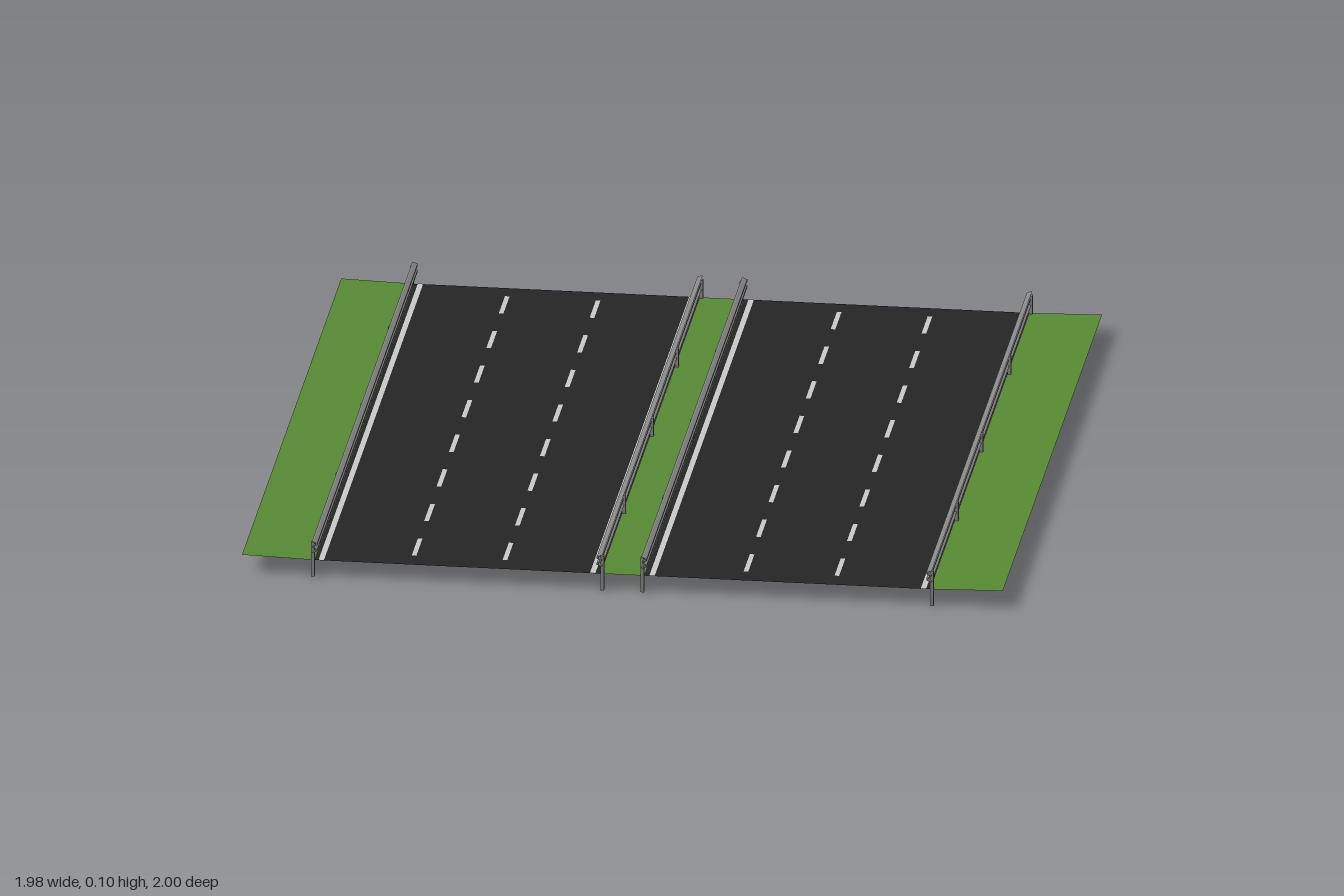
import * as THREE from 'three';

const mat = (color) => new THREE.MeshStandardMaterial({ color, side: THREE.DoubleSide });

export function createModel() {
  const model = new THREE.Group();
  const asphalt = mat(0x262626), grass = mat(0x588c34), paint = mat(0xcccccc), steel = mat(0x888888);
  const roadY = 0.045, half = 0.987;

  const add = (name, geometry, material, x = 0, y = 0, z = 0, parent = model) => {
    const mesh = new THREE.Mesh(geometry, material);
    mesh.name = name;
    mesh.position.set(x, y, z);
    parent.add(mesh);
    return mesh;
  };
  // Flat strip lying between two x positions
  const strip = (name, x0, x1, y, length, material, z = 0) =>
    add(name, new THREE.PlaneGeometry(x1 - x0, length).rotateX(-Math.PI / 2), material, (x0 + x1) / 2, y, z);

  strip('medianGrass', -0.056, 0.056, roadY, half * 2, grass);

  // W-beam rail cross-section: x towards the road, y up
  const face = [[0, 0.07], [0.010, 0.074], [0.010, 0.079], [0.002, 0.083], [0.002, 0.087], [0.010, 0.091], [0.010, 0.096], [0, 0.1]];
  const back = face.map(([x, y]) => [x - 0.004, y]).reverse();
  const profile = new THREE.Shape([...face, ...back].map(([x, y]) => new THREE.Vector2(x, y)));
  const railGeometry = new THREE.ExtrudeGeometry(profile, { depth: 2, bevelEnabled: false }).translate(0, 0, -1);

  const guardRail = (name, x, facing, postsZ) => {
    const rail = new THREE.Group();
    rail.name = name;
    rail.position.x = x;
    add('railBeam', railGeometry, steel, 0, 0, 0, rail).rotation.y = facing > 0 ? 0 : Math.PI;
    postsZ.forEach((z) => {
      const bottom = z === 0 ? 0.02 : 0, top = 0.095;
      add('railPost', new THREE.BoxGeometry(0.009, top - bottom, 0.012), steel,
        -facing * 0.003, (top + bottom) / 2, z, rail);
    });
    model.add(rail);
  };

  for (const s of [-1, 1]) {
    const side = s > 0 ? 'left' : 'right';
    const span = (name, a, b, y, length, material, z) =>
      strip(side + name, Math.min(s * a, s * b), Math.max(s * a, s * b), y, length, material, z);

    // Carriageway and verge, the verge rising slightly outwards
    span('Road', 0.056, 0.8, roadY, half * 2, asphalt);
    const verge = span('Verge', 0.8, 0.988, roadY, half * 2, grass);
    const p = verge.geometry.attributes.position;
    for (let i = 0; i < p.count; i++) if (p.getX(i) * s > 0) p.setY(i, 0.005);
    verge.geometry.computeVertexNormals();

    // Solid edge lines and broken lane lines
    span('InnerEdgeLine', 0.07, 0.084, roadY + 0.001, half * 2, paint);
    span('OuterEdgeLine', 0.775, 0.789, roadY + 0.001, half * 2, paint);
    for (const x of [0.313, 0.549])
      for (let i = 0; i < 8; i++)
        span('LaneDash', x - 0.006, x + 0.006, roadY + 0.001, 0.123, paint, -0.866 + i * 0.2472);

    // Guard rails face the traffic
    guardRail(side + 'OuterGuardRail', s * 0.801, -s, [-0.984, -0.552, 0, 0.494, 0.984]);
    guardRail(side + 'MedianGuardRail', s * 0.055, s, [-0.984, -0.494, 0, 0.552, 0.984]);
  }
  return model;
}
